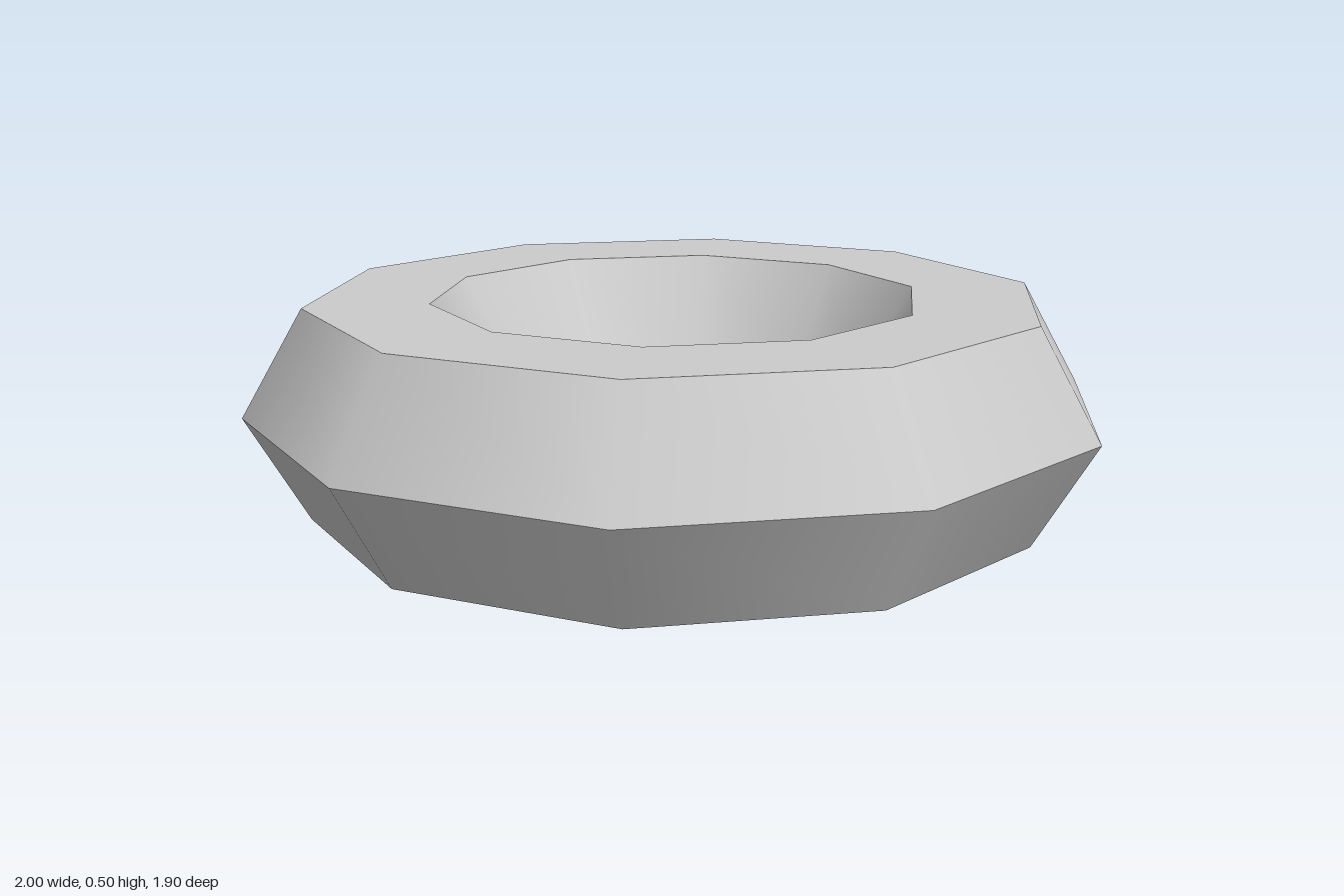
import * as THREE from 'three';
import { mergeGeometries } from 'three/addons/utils/BufferGeometryUtils.js';

const RING_RADIUS = 0.714;
const TUBE_RADIUS = 0.286;
const TUBE_SIDES = 6;
const RING_SIDES = 10;

export function createModel() {
  const grey = new THREE.MeshStandardMaterial({ color: 0xcccccc });
  grey.name = 'light grey';

  const height = TUBE_RADIUS * Math.sin(Math.PI / 3);

  // Corner of the hexagonal cross-section
  const corner = (i) => {
    const a = (i / TUBE_SIDES) * Math.PI * 2;
    return new THREE.Vector2(
      RING_RADIUS + TUBE_RADIUS * Math.cos(a),
      height + TUBE_RADIUS * Math.sin(a)
    );
  };

  // One band per hexagon side: smooth around the ring, sharp between bands
  const bands = [];
  for (let i = 0; i < TUBE_SIDES; i++) {
    bands.push(new THREE.LatheGeometry([corner(i), corner(i + 1)], RING_SIDES, Math.PI / 2));
  }

  const ring = new THREE.Mesh(mergeGeometries(bands), grey);
  ring.name = 'ring';

  const model = new THREE.Group();
  model.name = 'hexagonalRing';
  model.add(ring);
  return model;
}
